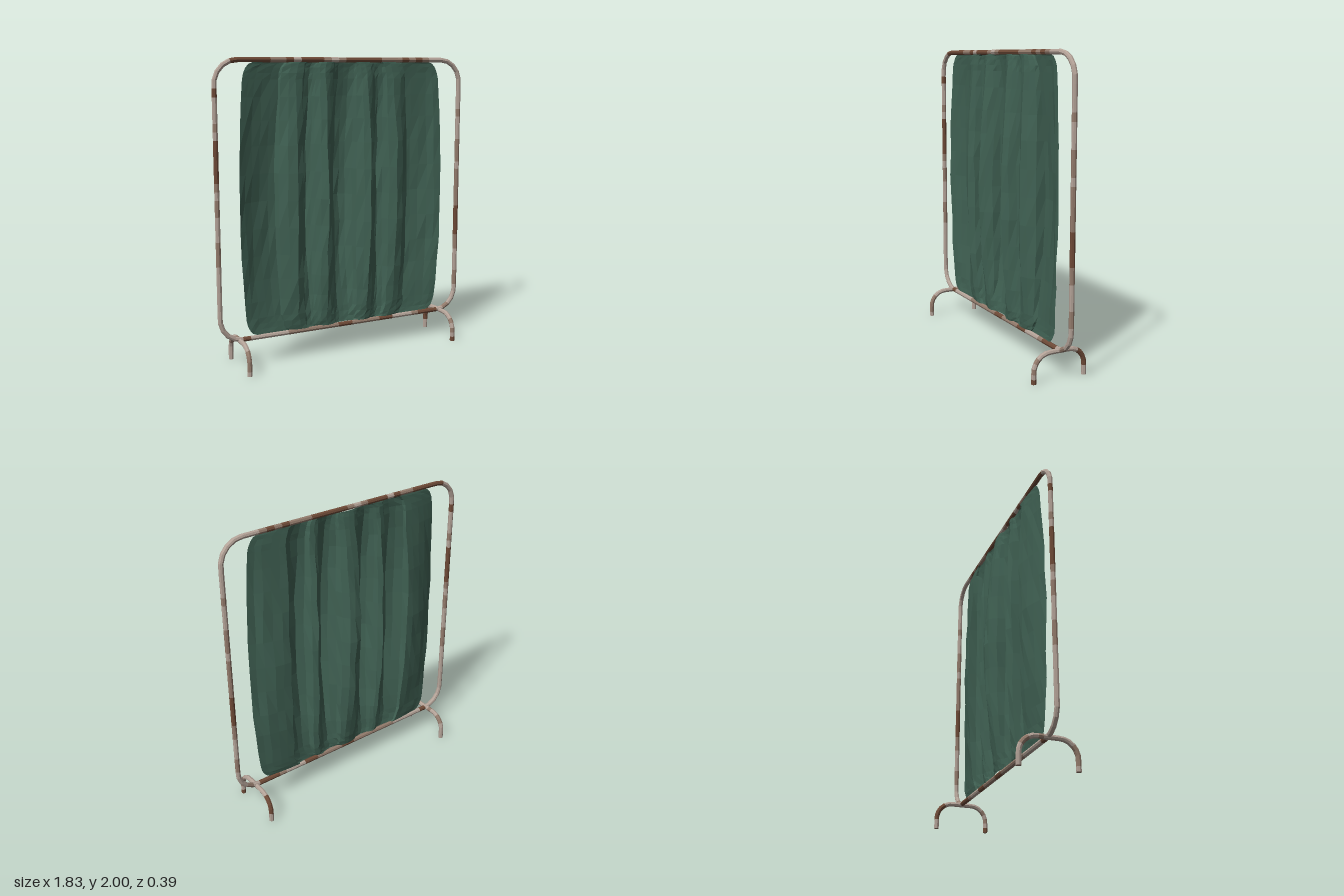
import * as THREE from 'three';

const material = (name, color, options = {}) => {
  const m = new THREE.MeshStandardMaterial({ color, flatShading: true, ...options });
  m.name = name;
  return m;
};

// Small seeded generator for cloth wrinkles and rust patches
function makeRandom(seed) {
  return () => {
    seed = (seed * 16807) % 2147483647;
    return seed / 2147483647;
  };
}

// Path through corner points, each corner rounded by radius r
function roundedPath(points, r, closed) {
  const path = new THREE.CurvePath();
  const n = points.length;
  const toward = (a, b) => a.clone().add(b.clone().sub(a).setLength(r));
  let last = closed ? toward(points[0], points[1]) : points[0];
  for (let i = 1; i < (closed ? n + 1 : n - 1); i++) {
    const c = points[i % n];
    const a = toward(c, points[i - 1]);
    const b = toward(c, points[(i + 1) % n]);
    const k = 0.5523;
    path.add(new THREE.LineCurve3(last, a));
    path.add(new THREE.CubicBezierCurve3(a, a.clone().lerp(c, k), b.clone().lerp(c, k), b));
    last = b;
  }
  if (!closed) path.add(new THREE.LineCurve3(last, points[n - 1]));
  return path;
}

// Metal pipe whose rings are shared out between the worn metal colours;
// rails running sideways hold more rust than the uprights
function pipe(name, path, segments, closed, metals, random) {
  const sides = 8;
  const geometry = new THREE.TubeGeometry(path, segments, 0.0165, sides, closed);
  let metal = 0;
  for (let i = 0; i < segments; i++) {
    const rail = Math.abs(path.getTangentAt((i + 0.5) / segments).x) > 0.9;
    if (random() < 0.6) {
      const pick = random() + (rail ? 0.16 : 0);
      metal = pick < 0.5 ? 0 : pick < 0.85 ? 1 : 2;
    }
    geometry.addGroup(i * sides * 6, sides * 6, metal);
  }
  const mesh = new THREE.Mesh(geometry, metals);
  mesh.name = name;
  return mesh;
}

// Pleated sheet: one row of folds, swelling at mid height
function curtain(fabric) {
  const random = makeRandom(41);
  // Half of the pleat profile as x, z; mirrored about the centre
  const half = [
    [0.04, -0.095], [0.075, -0.05], [0.09, 0.005], [0.125, 0.05], [0.16, 0.08],
    [0.2, 0.05], [0.225, 0], [0.245, -0.035], [0.27, -0.055], [0.305, -0.03],
    [0.325, 0.035], [0.375, 0.062], [0.43, 0.04], [0.48, -0.005], [0.49, -0.058],
    [0.54, -0.055], [0.6, -0.044], [0.66, -0.025], [0.71, 0.0], [0.755, 0.015],
  ];
  const profile = [...half.map(([x, z]) => [-x, z]).reverse(), [0, -0.108], ...half];
  const bottom = 0.2, top = 1.97, corner = 0.11;
  const heights = [0, 0.012, 0.035, 0.07, 0.11];
  const rows = [
    ...heights.map((h) => bottom + h),
    0.42, 0.56, 0.72, 0.9, 1.08, 1.26, 1.44, 1.6, 1.75,
    ...heights.map((h) => top - h).reverse(),
  ];
  const positions = [], index = [];
  const cols = profile.length;
  rows.forEach((y, r) => {
    const t = (y - 1.08) / 0.89;
    const d = Math.min(y - bottom, top - y, corner);
    const round = 0.07 * (1 - Math.sqrt(1 - (1 - d / corner) ** 2));
    const width = (0.755 - 0.045 * t * t - round) / 0.755;
    const swell = 0.16 + 0.84 * Math.max(0, 1 - Math.abs(t) ** 1.9);
    const inside = r > 0 && r < rows.length - 1;
    profile.forEach(([x, z], c) => {
      const rim = c === 0 || c === cols - 1;
      const dx = inside && !rim ? (random() - 0.5) * 0.014 : 0;
      const dz = inside ? (random() - 0.5) * 0.014 * swell : 0;
      positions.push(x * width + dx, y, z * swell + dz);
      if (r && c) {
        const p = r * cols + c, q = p - cols;
        index.push(q - 1, q, p, q - 1, p, p - 1);
      }
    });
  });
  const geometry = new THREE.BufferGeometry();
  geometry.setAttribute('position', new THREE.Float32BufferAttribute(positions, 3));
  geometry.setIndex(index);
  geometry.computeVertexNormals();
  const mesh = new THREE.Mesh(geometry, fabric);
  mesh.name = 'curtain';
  return mesh;
}

export function createModel() {
  const model = new THREE.Group();
  model.name = 'privacyScreen';
  const random = makeRandom(7);
  const fabric = material('green fabric', 0x406153, { side: THREE.DoubleSide });
  const metals = [
    material('worn steel', 0xb3a297),
    material('stained steel', 0x927a6b),
    material('rust', 0x6e4a37),
  ];
  const v = (x, y, z) => new THREE.Vector3(x, y, z);

  // Rounded upright frame
  const x = 0.899, low = 0.187, high = 1.983;
  const loop = [v(-x, low, 0), v(x, low, 0), v(x, high, 0), v(-x, high, 0)];
  model.add(pipe('frame', roundedPath(loop, 0.15, true), 130, true, metals, random));

  // Arched feet under both ends
  for (const side of [-1, 1]) {
    const px = side * 0.77, z = 0.18;
    const arch = [v(px, 0, z), v(px, low - 0.004, z), v(px, low - 0.004, -z), v(px, 0, -z)];
    const name = side > 0 ? 'leftFoot' : 'rightFoot';
    model.add(pipe(name, roundedPath(arch, 0.11, false), 20, false, metals, random));
    // Flat caps under the foot ends
    for (const end of [-1, 1]) {
      const cap = new THREE.Mesh(new THREE.CircleGeometry(0.0165, 8), metals[1]);
      cap.name = name + 'Cap';
      cap.rotation.x = Math.PI / 2;
      cap.position.set(px, 0, end * z);
      model.add(cap);
    }
  }

  model.add(curtain(fabric));
  return model;
}
